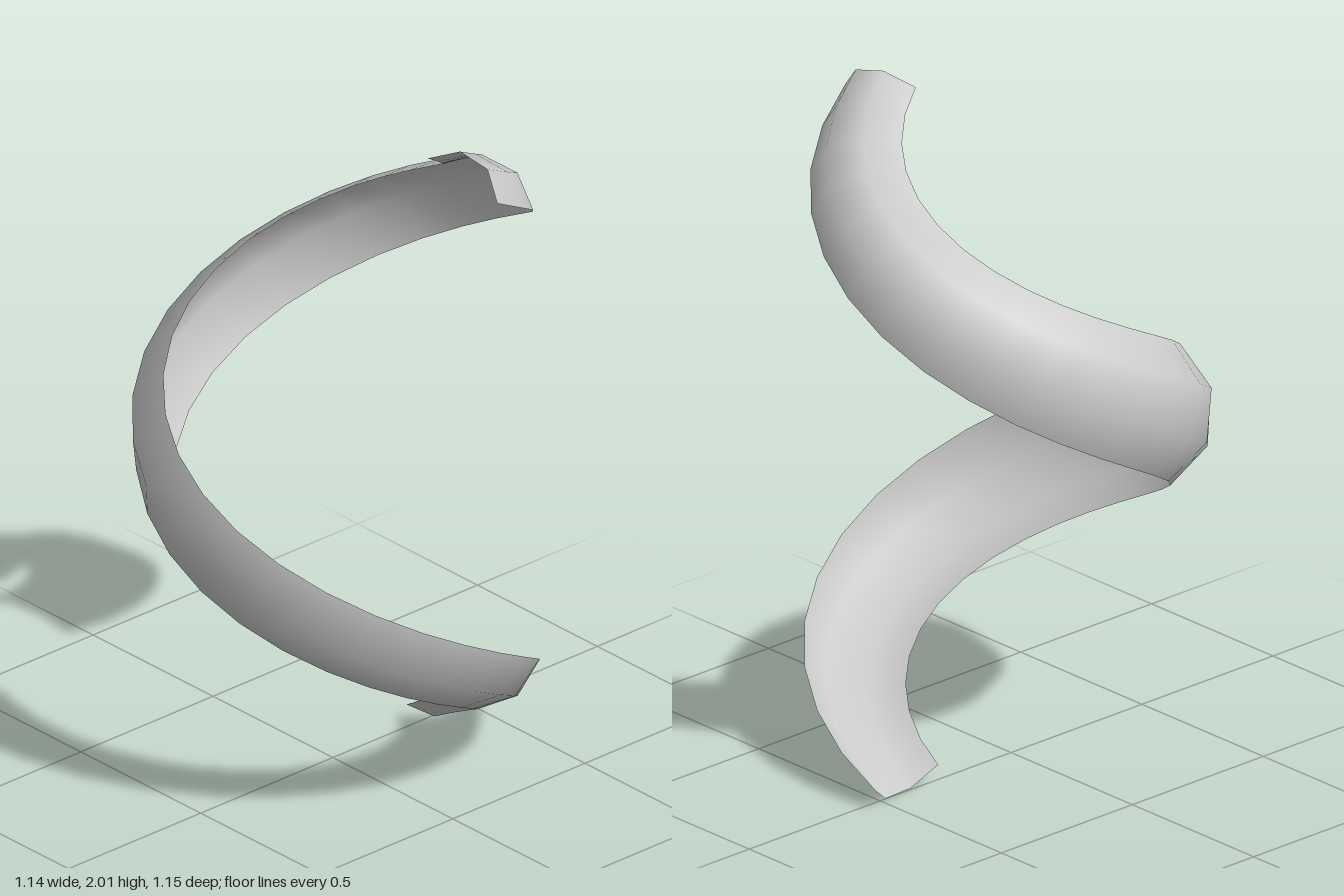
import * as THREE from 'three';

const RAD = Math.PI / 180;
const STEPS = 30; // sections along the spiral
const ARC = [-60, -20, 20, 60]; // angles of the points across the trough
const lerp = THREE.MathUtils.lerp;

// One cross-section: a shallow arc square to the helix, rolling over and swelling midway
function section(t) {
  const swell = Math.sin(Math.PI * t);
  const theta = lerp(-4, 434, t) * RAD;
  const roll = lerp(1, 165, t) * RAD;
  const radius = 0.15 * (1 + 0.5 * swell);
  const slope = 30 * RAD;

  const radial = new THREE.Vector3(Math.cos(theta), 0, Math.sin(theta));
  const tangent = new THREE.Vector3(-Math.sin(theta), 0, Math.cos(theta));
  const up = tangent.multiplyScalar(-Math.sin(slope));
  up.y = Math.cos(slope);
  const centre = radial.clone().multiplyScalar(0.427 + 0.034 * swell);
  centre.y = lerp(0.057, 1.94, t);

  return ARC.map((deg) => {
    const u = radius * Math.sin(deg * RAD);
    const n = radius * (0.5 - Math.cos(deg * RAD));
    return centre.clone()
      .addScaledVector(radial, u * Math.cos(roll) - n * Math.sin(roll))
      .addScaledVector(up, u * Math.sin(roll) + n * Math.cos(roll));
  });
}

export function createModel() {
  const group = new THREE.Group();
  group.name = 'spiralTrough';

  // Join neighbouring sections into one smooth open sheet
  const points = [];
  const index = [];
  const n = ARC.length;
  for (let i = 0; i <= STEPS; i++) {
    points.push(...section(i / STEPS));
    if (i === STEPS) break;
    for (let j = 0; j < n - 1; j++) {
      const a = i * n + j;
      index.push(a, a + n, a + 1, a + 1, a + n, a + n + 1);
    }
  }
  const geometry = new THREE.BufferGeometry().setFromPoints(points);
  geometry.setIndex(index);
  geometry.computeVertexNormals();

  const ribbon = new THREE.Mesh(
    geometry,
    new THREE.MeshStandardMaterial({ color: 0xcccccc, side: THREE.DoubleSide }),
  );
  ribbon.name = 'twistedRibbon';
  group.add(ribbon);
  return group;
}
